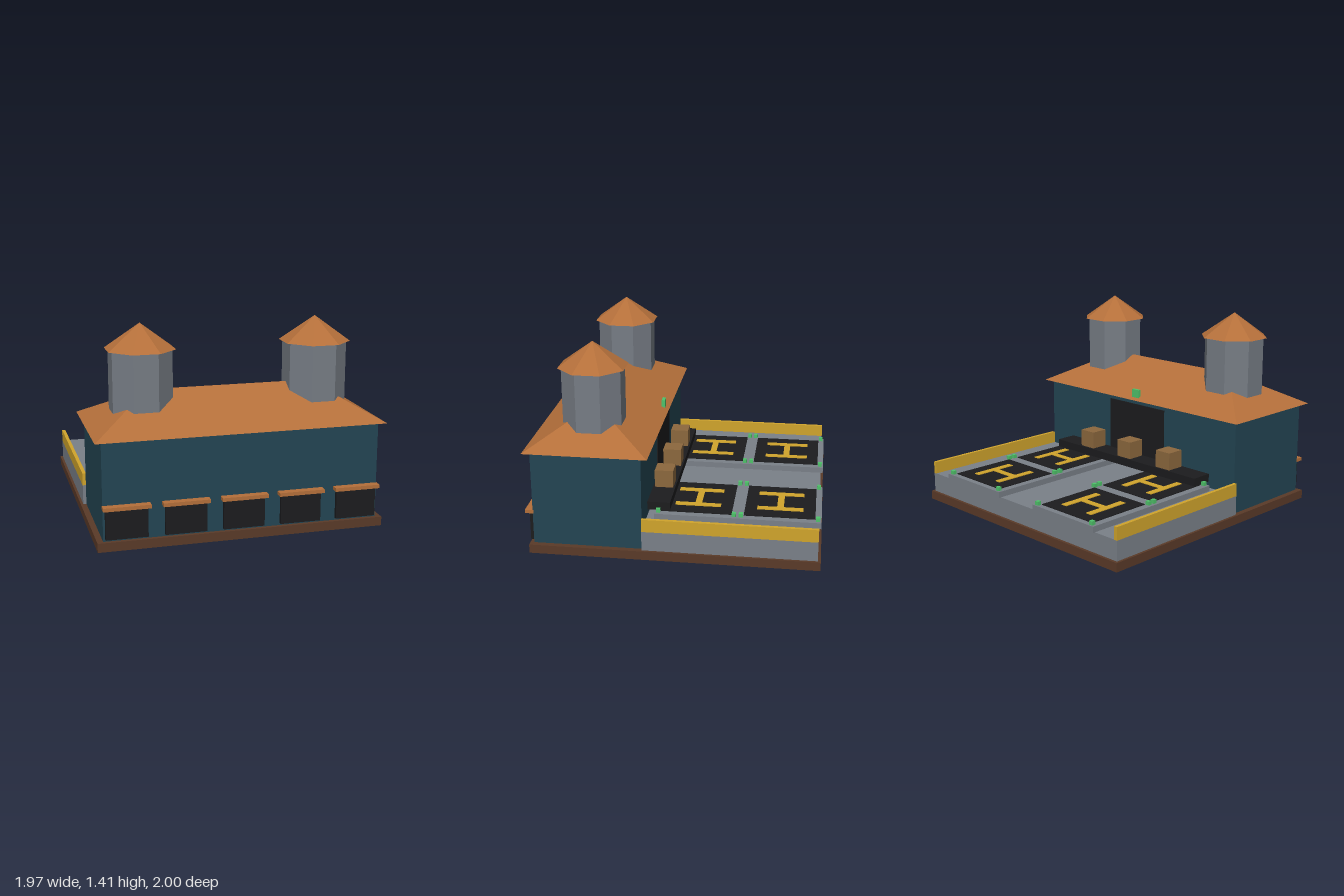
import * as THREE from 'three';
import { ConvexGeometry } from 'three/addons/geometries/ConvexGeometry.js';

const mat = (color) => new THREE.MeshStandardMaterial({ color, flatShading: true });

export function createModel() {
  const root = new THREE.Group();
  root.name = 'landingDepot';
  const M = {
    base: mat(0x5a3a28), deck: mat(0x7a8088), wall: mat(0x234553), roof: mat(0xb46f3a),
    black: mat(0x1c1c1e), yellow: mat(0xd0a42c), crate: mat(0x8c683e), green: mat(0x4fc26a),
    tower: mat(0x767c84),
  };

  // Box given by its lower and upper limits on each axis
  const box = (name, m, x0, x1, y0, y1, z0, z1, parent = root) => {
    const mesh = new THREE.Mesh(new THREE.BoxGeometry(x1 - x0, y1 - y0, z1 - z0), m);
    mesh.position.set((x0 + x1) / 2, (y0 + y1) / 2, (z0 + z1) / 2);
    mesh.name = name;
    parent.add(mesh);
    return mesh;
  };

  // Foundation, rear deck and main building
  box('foundation', M.base, -0.98, 0.98, 0, 0.062, -1, 0.973);
  box('rearDeck', M.deck, -0.962, 0.962, 0.06, 0.202, -0.98, 0.2);
  box('mainBuilding', M.wall, -0.94, 0.94, 0.06, 0.73, 0.2, 0.947);

  // Hipped roof
  const points = [];
  for (const s of [-1, 1]) {
    points.push(new THREE.Vector3(s * 0.985, 0.73, 0.15));
    points.push(new THREE.Vector3(s * 0.985, 0.73, 0.993));
    points.push(new THREE.Vector3(s * 0.57, 0.962, 0.572));
  }
  const roof = new THREE.Mesh(new ConvexGeometry(points), M.roof);
  roof.name = 'hippedRoof';
  root.add(roof);

  // Octagonal towers with pointed caps
  for (const s of [-1, 1]) {
    const tower = new THREE.Group();
    tower.name = s > 0 ? 'leftTower' : 'rightTower';
    tower.position.set(s * 0.608, 0, 0.572);
    const shaft = new THREE.Mesh(new THREE.CylinderGeometry(0.218, 0.218, 0.5, 8), M.tower);
    shaft.name = 'towerShaft';
    shaft.position.y = 0.99;
    const cap = new THREE.Mesh(new THREE.ConeGeometry(0.243, 0.172, 8), M.roof);
    cap.name = 'towerCap';
    cap.position.y = 1.326;
    shaft.rotation.y = cap.rotation.y = Math.PI / 8;
    tower.add(shaft, cap);
    root.add(tower);
  }

  // Five front bays, each with a canopy
  for (let i = -2; i <= 2; i++) {
    const x = i * 0.393;
    box('bayDoor', M.black, x - 0.14, x + 0.14, 0.078, 0.282, 0.94, 0.972);
    box('bayCanopy', M.roof, x - 0.157, x + 0.157, 0.28, 0.305, 0.94, 1);
  }

  // Side parapets along the deck
  for (const s of [-1, 1]) {
    const wall = box('sideParapet', M.yellow, -0.0125, 0.0125, 0.2, 0.29, -0.98, 0.2);
    wall.position.x = s * 0.95;
  }

  // Four landing pads with markings and corner lights
  for (const x of [-0.471, 0.471]) {
    for (const z of [-0.71, -0.14]) {
      const pad = new THREE.Group();
      pad.name = 'landingPad';
      pad.position.set(x, 0, z);
      root.add(pad);
      box('padSlab', M.deck, -0.294, 0.294, 0.2, 0.243, -0.285, 0.285, pad);
      box('padSurface', M.black, -0.243, 0.243, 0.24, 0.248, -0.243, 0.243, pad);
      box('markingBar', M.yellow, -0.1, 0.1, 0.245, 0.253, -0.023, 0.023, pad);
      for (const s of [-1, 1]) {
        const bar = box('markingStroke', M.yellow, -0.024, 0.024, 0.245, 0.253, -0.159, 0.159, pad);
        bar.position.x = s * 0.119;
        for (const t of [-1, 1]) {
          const light = box('padLight', M.green, -0.014, 0.014, 0.24, 0.27, -0.014, 0.014, pad);
          light.position.x = s * 0.261;
          light.position.z = t * 0.261;
        }
      }
    }
  }

  // Rear loading platform, cargo door, crates and signal light
  box('loadingPlatform', M.black, -0.71, 0.71, 0.247, 0.305, 0.042, 0.2);
  box('cargoDoor', M.black, -0.275, 0.275, 0.3, 0.69, 0.192, 0.205);
  for (const x of [-0.393, 0, 0.393]) {
    box('crate', M.crate, x - 0.066, x + 0.066, 0.303, 0.432, 0.056, 0.188);
  }
  box('signalLight', M.green, -0.033, 0.033, 0.738, 0.806, 0.178, 0.202);

  return root;
}
